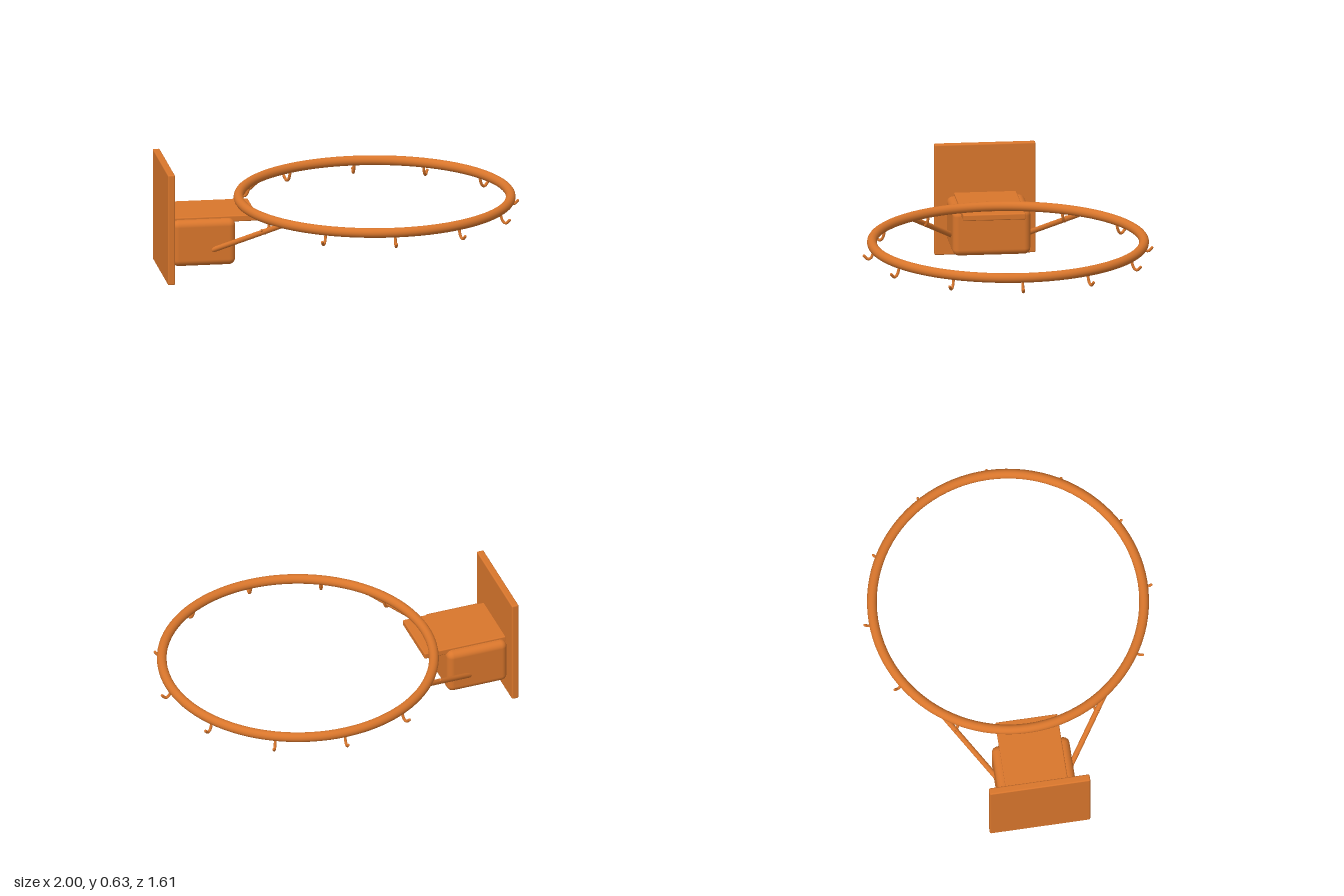
import * as THREE from 'three';
import { RoundedBoxGeometry } from 'three/addons/geometries/RoundedBoxGeometry.js';

const RING_X = 0.195, RING_Y = 0.382, RING_R = 0.75, RING_TUBE = 0.027;

export function createModel() {
  const group = new THREE.Group();
  const orange = new THREE.MeshStandardMaterial({ color: 0xd9762c });
  orange.name = 'orange paint';

  function add(name, geometry, parent = group) {
    const mesh = new THREE.Mesh(geometry, orange);
    mesh.name = name;
    parent.add(mesh);
    return mesh;
  }

  // Rounded box given by its lower and upper corners
  function box(name, [x0, y0, z0], [x1, y1, z1], radius, segments) {
    const geometry = new RoundedBoxGeometry(x1 - x0, y1 - y0, z1 - z0, segments, radius);
    add(name, geometry).position.set((x0 + x1) / 2, (y0 + y1) / 2, (z0 + z1) / 2);
  }

  // Wall plate, spring housing and the flat tongue that carries the ring
  box('mountingPlate', [-1, 0, -0.28], [-0.96, 0.63, 0.28], 0.008, 2);
  box('housing', [-0.962, 0.083, -0.216], [-0.611, 0.343, 0.216], 0.036, 4);
  box('ringTongue', [-0.965, 0.32, -0.173], [-0.486, 0.355, 0.173], 0.006, 2);

  // Ring
  const ring = add('ring', new THREE.TorusGeometry(RING_R, RING_TUBE, 16, 96));
  ring.rotation.x = Math.PI / 2;
  ring.position.set(RING_X, RING_Y, 0);

  // Diagonal braces from the housing sides to the ring
  for (const side of [1, -1]) {
    const from = new THREE.Vector3(-0.735, 0.175, side * 0.208);
    const to = new THREE.Vector3(-0.4, 0.365, side * 0.457);
    const dir = to.clone().sub(from);
    const brace = add(side > 0 ? 'leftBrace' : 'rightBrace',
      new THREE.CapsuleGeometry(0.015, dir.length(), 6, 12));
    brace.position.copy(from).add(to).multiplyScalar(0.5);
    brace.quaternion.setFromUnitVectors(new THREE.Vector3(0, 1, 0), dir.normalize());
  }

  // Net hooks spaced evenly under the ring
  const hookPath = new THREE.CatmullRomCurve3([
    [0.743, 0.375], [0.748, 0.34], [0.761, 0.314], [0.777, 0.308], [0.798, 0.327],
  ].map(([r, y]) => new THREE.Vector3(r, y, 0)));
  const hookGeometry = new THREE.TubeGeometry(hookPath, 14, 0.008, 8);
  const tipGeometry = new THREE.SphereGeometry(0.008, 8, 6);
  for (let i = 0; i < 12; i++) {
    const hook = new THREE.Group();
    hook.name = 'netHook' + (i + 1);
    hook.position.x = RING_X;
    hook.rotation.y = i * Math.PI / 6;
    add('hookRod', hookGeometry, hook);
    add('hookTip', tipGeometry, hook).position.set(0.798, 0.327, 0);
    group.add(hook);
  }

  return group;
}
